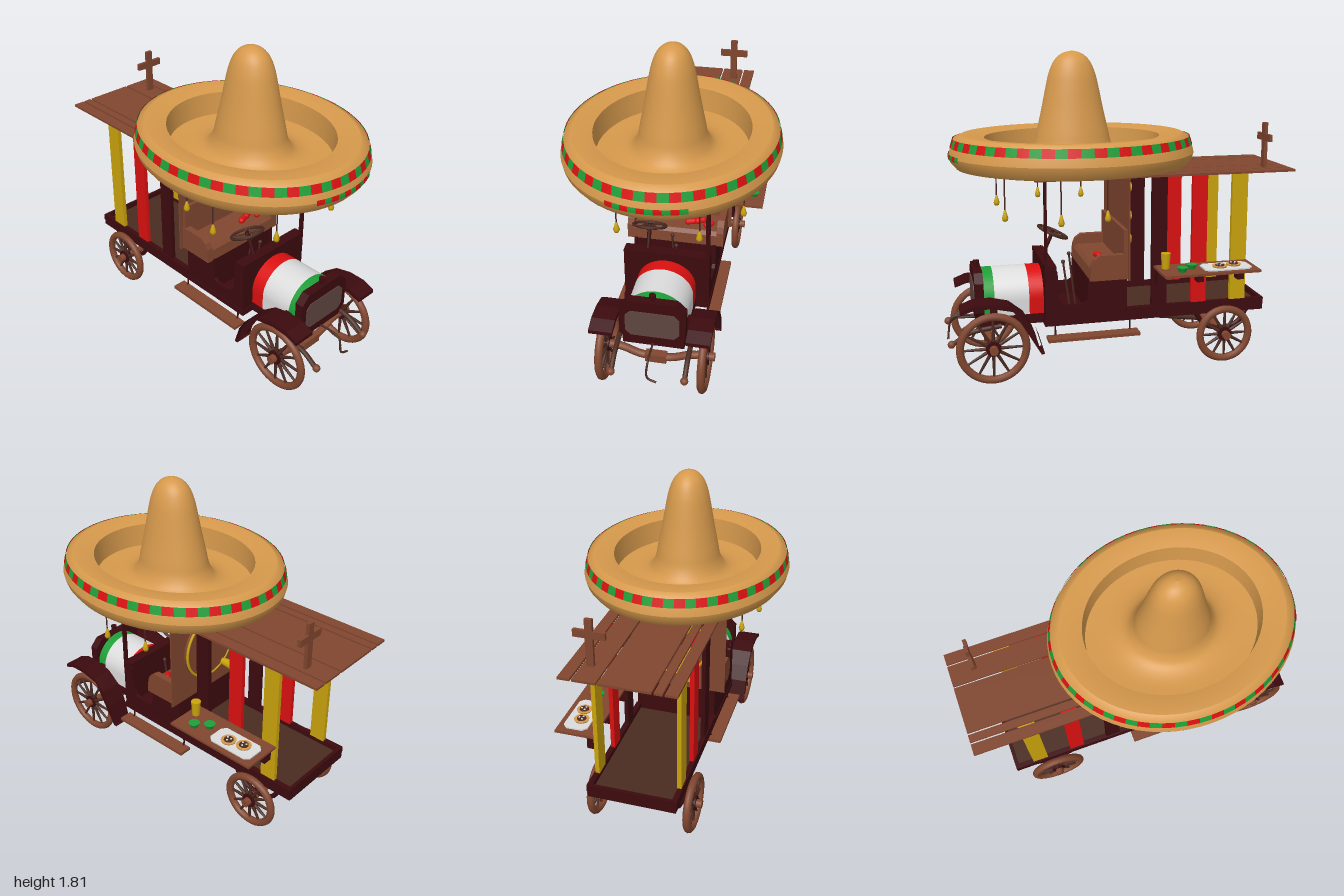
import * as THREE from 'three';

const mat = (name, color, side = THREE.FrontSide) => {
  const m = new THREE.MeshStandardMaterial({ color, side });
  m.name = name;
  return m;
};

export function createModel() {
  const wood = mat('wood', 0x80462f);
  const darkWood = mat('dark wood', 0x4a2a20);
  const maroon = mat('maroon', 0x3c0a0e);
  const straw = mat('straw', 0xd6994c, THREE.DoubleSide);
  const red = mat('red', 0xdb1010, THREE.DoubleSide);
  const green = mat('green', 0x1f9e38, THREE.DoubleSide);
  const yellow = mat('yellow', 0xcaa30c);
  const white = mat('white', 0xdcdcdc);
  const glass = mat('grille grey', 0x5e4540);

  const model = new THREE.Group();
  const add = (name, geo, material, x = 0, y = 0, z = 0, parent = model) => {
    const m = new THREE.Mesh(geo, material);
    m.name = name;
    m.position.set(x, y, z);
    parent.add(m);
    return m;
  };
  // box given by its limits
  const box = (name, m, x0, x1, y0, y1, z0, z1) =>
    add(name, new THREE.BoxGeometry(x1 - x0, y1 - y0, z1 - z0), m, (x0 + x1) / 2, (y0 + y1) / 2, (z0 + z1) / 2);
  const cyl = (name, m, rt, rb, h, x, y, z, n = 20) => add(name, new THREE.CylinderGeometry(rt, rb, h, n), m, x, y, z);
  const v = (p) => new THREE.Vector3(...p);
  const tube = (name, m, pts, r, n = 16) =>
    add(name, new THREE.TubeGeometry(new THREE.CatmullRomCurve3(pts.map(v)), n, r, 8), m);
  // side profile of [z, y] points, extruded across x
  const side = (name, m, pts, x, width) => {
    const s = new THREE.Shape(pts.map(([a, b]) => new THREE.Vector2(a, b)));
    const g = new THREE.ExtrudeGeometry(s, { depth: width, bevelEnabled: false });
    g.rotateY(-Math.PI / 2).translate(width / 2, 0, 0);
    return add(name, g, m, x);
  };
  const lathe = (pts, n = 64, a = 0, len = Math.PI * 2) =>
    new THREE.LatheGeometry(pts.map(([r, y]) => new THREE.Vector2(r, y)), n, a, len);

  // sombrero: stretched lathe, split at its sharp edges
  const hat = new THREE.Group();
  hat.name = 'sombrero';
  hat.position.z = 0.245;
  hat.scale.x = 0.85;
  model.add(hat);
  const hatPart = (name, pts) => add(name, lathe(pts), straw, 0, 0, 0, hat);
  hatPart('brimUnderside', [[0, 1.19], [0.4, 1.18], [0.62, 1.172], [0.66, 1.18]]);
  hatPart('brimEdge', [[0.66, 1.18], [0.69, 1.215], [0.70, 1.25]]);
  hatPart('brimSide', [[0.70, 1.25], [0.69, 1.29], [0.67, 1.345], [0.63, 1.362]]);
  hatPart('brimTop', [[0.63, 1.362], [0.57, 1.36], [0.5, 1.345]]);
  hatPart('brimWall', [[0.5, 1.345], [0.49, 1.21]]);
  const crown = new THREE.SplineCurve([[0.49, 1.21], [0.36, 1.205], [0.27, 1.23], [0.225, 1.29], [0.205, 1.37], [0.175, 1.5],
    [0.15, 1.62], [0.13, 1.70], [0.1, 1.765], [0.055, 1.805], [0, 1.82]].map((p) => new THREE.Vector2(...p)));
  hatPart('crown', crown.getPoints(40).map((p) => [Math.max(p.x, 0), p.y]));
  // alternating trim bands
  const band = (name, pts, n, a, len) => {
    const g = lathe(pts, n, a, len);
    const per = (pts.length - 1) * 6;
    for (let i = 0; i < n; i++) g.addGroup(i * per, per, i % 2);
    add(name, g, [red, green], 0, 0, 0, hat);
  };
  band('brimTrim', [[0.691, 1.298], [0.676, 1.345]], 64, 0, Math.PI * 2);
  band('frontTrim', [[0.702, 1.235], [0.704, 1.25], [0.701, 1.265]], 10, -0.35, 0.7);

  // tassels under the brim
  for (const [x, z] of [[0.22, 0.665], [0.415, 0.39], [0.365, 0.125]]) for (const s of [-1, 1]) {
    cyl('tasselCord', darkWood, 0.004, 0.004, 0.23, s * x, 1.075, z, 6);
    add('tassel', lathe([[0, 0.91], [0.013, 0.915], [0.018, 0.93], [0.012, 0.95], [0.005, 0.975], [0, 0.98]], 12), yellow, s * x, 0, z);
  }
  cyl('hatSupport', wood, 0.115, 0.115, 0.05, 0, 1.165, 0.245, 24);

  // roof planks and posts
  for (const [a, b] of [[-0.305, -0.241], [-0.23, -0.186], [-0.175, 0.096], [0.106, 0.23], [0.24, 0.305]])
    box('roofPlank', wood, a, b, 1.135, 1.148, -1, 0.51);
  for (const s of [-1, 1]) {
    box('darkPost', maroon, s * 0.235 - 0.012, s * 0.235 + 0.012, 0.37, 1.135, -0.25, -0.16);
    box('redPost', red, s * 0.235 - 0.012, s * 0.235 + 0.012, 0.37, 1.135, -0.49, -0.4);
    box('yellowPost', yellow, s * 0.235 - 0.012, s * 0.235 + 0.012, 0.37, 1.135, -0.735, -0.64);
  }
  box('frontPost', maroon, 0.222, 0.246, 0.55, 1.135, 0.44, 0.455);

  // cross on the roof
  box('crossUpright', wood, 0.165, 0.205, 1.14, 1.41, -0.865, -0.845);
  box('crossArm', wood, 0.1, 0.27, 1.305, 1.345, -0.865, -0.845);

  // bed
  box('bedBase', maroon, -0.25, 0.25, 0.3, 0.335, -0.85, 0.46);
  box('bedFloor', darkWood, -0.235, 0.235, 0.335, 0.343, -0.835, -0.02);
  for (const s of [-1, 1]) box('bedRail', maroon, s * 0.24 - 0.015, s * 0.24 + 0.015, 0.335, 0.375, -0.85, -0.01);
  box('bedTail', maroon, -0.25, 0.25, 0.335, 0.375, -0.85, -0.83);

  // cab body
  const cab = [[0.455, 0.3], [0.455, 0.645], [0.4, 0.645], [0.385, 0.61], [0.38, 0.46], [0.365, 0.43], [0.335, 0.415],
    [0.24, 0.415], [0.215, 0.43], [0.21, 0.56], [-0.015, 0.56], [-0.015, 0.3]];
  for (const s of [-1, 1]) side('cabSide', maroon, cab, s * 0.235, 0.02);
  box('firewall', maroon, -0.243, 0.243, 0.31, 0.643, 0.42, 0.453);
  box('dashboard', maroon, -0.243, 0.243, 0.6, 0.644, 0.39, 0.43);
  box('seatBase', maroon, -0.24, 0.24, 0.33, 0.557, -0.01, 0.2);

  // seat and back panel
  const arm = [[-0.01, 0.556], [0.207, 0.556], [0.2, 0.64], [0.185, 0.675], [0.15, 0.7], [-0.01, 0.7]];
  for (const s of [-1, 1]) side('seatArm', wood, arm, s * 0.265, 0.04);
  side('seatCushion', wood, [[-0.01, 0.556], [0.205, 0.556], [0.2, 0.62], [0.18, 0.64], [-0.01, 0.64]], 0, 0.5);
  box('seatBack', wood, -0.28, 0.28, 0.64, 0.84, -0.01, 0.012);
  box('backPanel', wood, -0.305, 0.305, 0.55, 1.136, -0.018, -0.01);
  cyl('backDisc', wood, 0.2, 0.2, 0.025, 0, 0.85, -0.03, 40).rotation.x = Math.PI / 2;
  add('backDiscRing', new THREE.TorusGeometry(0.195, 0.008, 8, 40), yellow, 0, 0.85, -0.04);
  [1.01, 0.835, 0.69].forEach((y) => {
    cyl('hangingCup', yellow, 0.022, 0.029, 0.085, -0.11, y, -0.087).rotation.x = Math.PI / 2;
  });
  cyl('cupPeg', darkWood, 0.02, 0.02, 0.04, -0.06, 0.895, -0.06).rotation.x = Math.PI / 2;
  for (const [x, z] of [[0.08, 0.12], [0.135, 0.1], [0.19, 0.13]]) {
    const p = add('pepper', new THREE.CapsuleGeometry(0.018, 0.035, 4, 10), red, x, 0.652, z);
    p.rotation.set(0, x * 4, Math.PI / 2);
  }

  // bonnet with coloured sections, and radiator
  const arch = (w, bottom, mid, top) => {
    const s = new THREE.Shape();
    s.moveTo(-w, bottom);
    s.lineTo(w, bottom);
    s.lineTo(w, mid);
    s.absellipse(0, mid, w, top - mid, 0, Math.PI, false);
    return s;
  };
  const arched = (name, m, shape, z0, z1) =>
    add(name, new THREE.ExtrudeGeometry(shape, { depth: z1 - z0, bevelEnabled: false, curveSegments: 24 }), m, 0, 0, z0);
  const bonnet = arch(0.168, 0.35, 0.44, 0.598);
  arched('bonnetRed', red, bonnet, 0.45, 0.535);
  arched('bonnetWhite', white, bonnet, 0.535, 0.73);
  arched('bonnetGreen', green, bonnet, 0.73, 0.795);
  const octagon = (w, y0, y1, c) => new THREE.Shape([[-w + c, y0], [w - c, y0], [w, y0 + c], [w, y1 - c], [w - c, y1],
    [-w + c, y1], [-w, y1 - c], [-w, y0 + c]].map((p) => new THREE.Vector2(...p)));
  arched('radiatorShell', maroon, octagon(0.182, 0.335, 0.605, 0.05), 0.79, 0.84);
  arched('radiatorGrille', glass, octagon(0.148, 0.38, 0.54, 0.03), 0.838, 0.845);
  cyl('radiatorCap', maroon, 0.018, 0.018, 0.02, 0, 0.635, 0.815);
  cyl('radiatorNeck', maroon, 0.01, 0.01, 0.04, 0, 0.615, 0.815);
  box('frontChassis', maroon, -0.17, 0.17, 0.3, 0.355, 0.45, 0.82);

  // steering wheel, tilted towards the driver
  const steer = new THREE.Group();
  steer.name = 'steeringWheel';
  steer.position.set(-0.115, 0.757, 0.35);
  steer.rotation.x = -0.43;
  model.add(steer);
  add('steeringRim', new THREE.TorusGeometry(0.092, 0.009, 8, 32), darkWood, 0, 0, 0, steer).rotation.x = Math.PI / 2;
  for (let i = 0; i < 2; i++) {
    const b = add('steeringSpoke', new THREE.CylinderGeometry(0.006, 0.006, 0.18, 8), darkWood, 0, 0, 0, steer);
    b.rotation.set(Math.PI / 2, 0, Math.PI / 4 + i * Math.PI / 2);
  }
  add('steeringColumn', new THREE.CylinderGeometry(0.012, 0.012, 0.22, 12), maroon, 0, -0.1, 0, steer);
  for (const [x, z, y] of [[0, 0.275, 0.65], [0.03, 0.315, 0.61]]) {
    tube('lever', darkWood, [[x, 0.34, z - 0.035], [x, y, z]], 0.006, 2);
    add('leverKnob', new THREE.SphereGeometry(0.012, 12, 8), darkWood, x, y, z);
  }

  // serving table with brackets, tray, plates and dishes
  box('tableTop', wood, 0.247, 0.475, 0.6, 0.614, -0.735, -0.17);
  for (const z of [-0.2, -0.44, -0.685])
    box('tableBracket', maroon, 0.247, 0.3, 0.51, 0.6, z - 0.02, z + 0.02);
  const tray = octagon(0.07, -0.14, 0.14, 0.025);
  const trayMesh = add('tray', new THREE.ExtrudeGeometry(tray, { depth: 0.008, bevelEnabled: false }), white, 0.375, 0.614, -0.56);
  trayMesh.rotation.x = -Math.PI / 2;
  for (const [x, z] of [[0.365, -0.61], [0.385, -0.52]]) {
    cyl('tortilla', straw, 0.043, 0.04, 0.008, x, 0.626, z, 24);
    cyl('filling', darkWood, 0.026, 0.028, 0.006, x, 0.632, z, 9);
    for (let i = 0; i < 3; i++) cyl('topping', white, 0.006, 0.006, 0.004, x + 0.014 * Math.cos(i * 2.1), 0.636, z + 0.014 * Math.sin(i * 2.1), 6);
  }
  for (const [x, z] of [[0.36, -0.36], [0.41, -0.29]]) cyl('greenDish', green, 0.032, 0.018, 0.028, x, 0.627, z);
  cyl('tableCup', yellow, 0.028, 0.022, 0.09, 0.32, 0.658, -0.22);

  // wheels
  const wheel = (name, x, r, z) => {
    const g = new THREE.Group();
    g.name = name;
    g.position.set(x, r + 0.006, z);
    g.rotation.y = Math.PI / 2;
    model.add(g);
    add('rim', new THREE.TorusGeometry(r - 0.022, 0.022, 10, 40), wood, 0, 0, 0, g);
    for (let i = 0; i < 12; i++) {
      const a = (i * Math.PI) / 6;
      const d = r / 2;
      const s = add('spoke', new THREE.CylinderGeometry(0.006, 0.011, r - 0.04, 8), darkWood, -Math.sin(a) * d, Math.cos(a) * d, 0, g);
      s.rotation.z = a;
    }
    add('hubPlate', new THREE.CylinderGeometry(0.042, 0.042, 0.035, 20), maroon, 0, 0, 0, g).rotation.x = Math.PI / 2;
    add('hub', new THREE.CylinderGeometry(0.024, 0.024, 0.1, 16), wood, 0, 0, 0, g).rotation.x = Math.PI / 2;
  };

  // mirrored running gear
  const top = [[0.93, 0.45], [0.86, 0.478], [0.76, 0.48], [0.66, 0.455], [0.58, 0.39], [0.53, 0.3], [0.495, 0.17]];
  const low = [[0.475, 0.17], [0.51, 0.29], [0.56, 0.37], [0.65, 0.43], [0.76, 0.455], [0.86, 0.453], [0.93, 0.428]];
  for (const s of [-1, 1]) {
    wheel('frontWheel', s * 0.28, 0.205, 0.755);
    wheel('rearWheel', s * 0.28, 0.172, -0.6);
    side('fender', maroon, [...top, ...low.slice().map((p) => p)], s * 0.262, 0.13);
    box('fenderStay', maroon, s * 0.19 - 0.015, s * 0.19 + 0.015, 0.32, 0.46, 0.72, 0.76);
    box('runningBoard', wood, s * 0.265 - 0.04, s * 0.265 + 0.04, 0.222, 0.24, -0.08, 0.45);
    for (const z of [-0.035, 0.4]) tube('boardBracket', maroon, [[s * 0.23, 0.31, z], [s * 0.235, 0.24, z], [s * 0.27, 0.22, z]], 0.005);
    tube('frontHorn', darkWood, [[s * 0.2, 0.31, 0.7], [s * 0.2, 0.28, 0.88], [s * 0.2, 0.225, 0.97]], 0.014);
    add('hornEnd', new THREE.SphereGeometry(0.022, 12, 8), wood, s * 0.2, 0.224, 0.978);
    tube('rearSpring', maroon, [[s * 0.22, 0.3, -0.44], [s * 0.22, 0.22, -0.5], [s * 0.22, 0.195, -0.6], [s * 0.22, 0.22, -0.7], [s * 0.22, 0.3, -0.76]], 0.014);
  }

  // axles and crank
  tube('frontAxle', wood, [[-0.3, 0.21, 0.755], [-0.2, 0.205, 0.755], [-0.08, 0.165, 0.755], [0.08, 0.165, 0.755], [0.2, 0.205, 0.755], [0.3, 0.21, 0.755]], 0.022, 32);
  box('axlePad', wood, -0.06, 0.06, 0.135, 0.185, 0.73, 0.78);
  cyl('rearAxle', wood, 0.02, 0.02, 0.56, 0, 0.178, -0.6).rotation.z = Math.PI / 2;
  add('differential', new THREE.SphereGeometry(0.055, 20, 14), wood, 0, 0.178, -0.6);
  tube('driveShaft', darkWood, [[0, 0.178, -0.58], [0, 0.29, 0.2]], 0.016, 2);
  tube('crank', darkWood, [[0, 0.32, 0.82], [0, 0.31, 0.96], [0, 0.22, 0.985], [0.05, 0.2, 0.99]], 0.006);
  return model;
}
